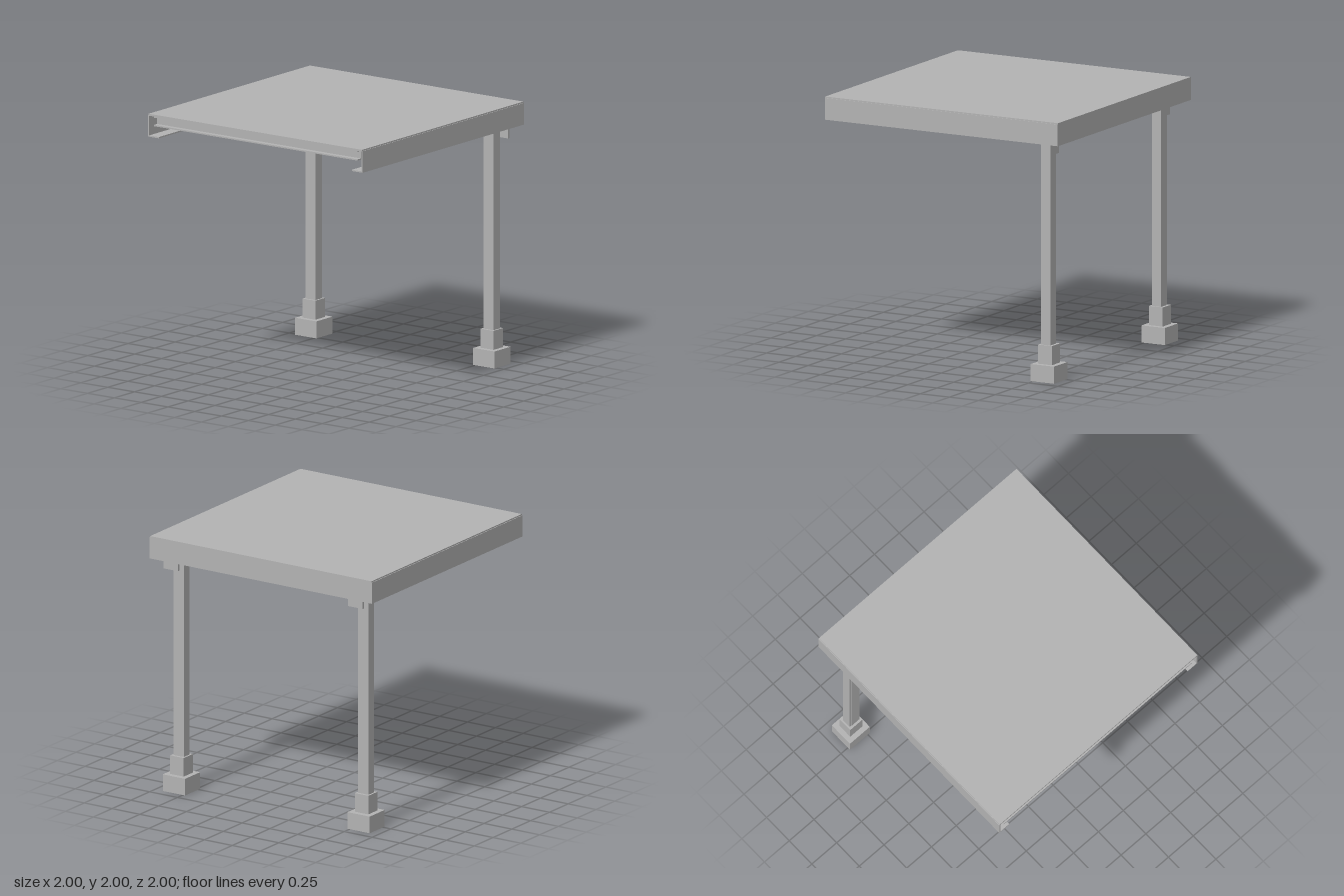
import * as THREE from 'three';

export function createModel() {
  const model = new THREE.Group();
  const steel = new THREE.MeshStandardMaterial({ color: 0xb2b2b2 });
  steel.name = 'grey steel';

  // Box given by its lower and upper limits on each axis
  const box = (name, [x0, x1], [y0, y1], [z0, z1], parent = model) => {
    const mesh = new THREE.Mesh(new THREE.BoxGeometry(x1 - x0, y1 - y0, z1 - z0), steel);
    mesh.position.set((x0 + x1) / 2, (y0 + y1) / 2, (z0 + z1) / 2);
    mesh.name = name;
    parent.add(mesh);
    return mesh;
  };

  // Roof sheet
  box('roofSheet', [-1, 1], [1.985, 2], [-0.995, 0.995]);

  // Fascia channels on three sides, the fourth is open
  const t = 0.01, low = 1.825;
  for (const s of [1, -1]) {
    const span = (a, b) => (s > 0 ? [a, b] : [-b, -a]);
    box('sideFascia', [-1, 1], [low, 1.99], span(1 - t, 1));
    box('sideFasciaFlange', [-1, 1], [low, low + t], span(0.9, 1 - t));
  }
  box('endFascia', [1 - t, 1], [low, 1.99], [-0.99, 0.99]);
  box('endFasciaFlange', [0.9, 1 - t], [low, low + t], [-0.9, 0.9]);

  // Channel purlins, opening towards the free end
  for (const x of [-0.945, 0.04]) {
    const purlin = new THREE.Group();
    purlin.name = 'purlin';
    box('purlinWeb', [x - t, x], [1.91, 1.985], [-0.95, 0.95], purlin);
    box('purlinLowerFlange', [x - 0.05, x - t], [1.91, 1.92], [-0.95, 0.95], purlin);
    box('purlinUpperFlange', [x - 0.05, x - t], [1.975, 1.985], [-0.95, 0.95], purlin);
    model.add(purlin);
  }

  // Posts with footings, caps, bracket plates and braces
  for (const z of [0.83, -0.83]) {
    const post = new THREE.Group();
    post.name = z > 0 ? 'frontPost' : 'backPost';
    box('footing', [0.728, 0.928], [0, 0.13], [z - 0.1, z + 0.1], post);
    box('collar', [0.768, 0.888], [0.13, 0.275], [z - 0.061, z + 0.061], post);
    box('column', [0.786, 0.866], [0.275, 1.805], [z - 0.033, z + 0.047], post);
    box('columnStrip', [0.79, 0.862], [0.275, 1.805], [z - 0.047, z - 0.033], post);
    box('capPlate', [0.775, 0.9], [1.805, 1.825], [z - 0.06, z + 0.06], post);
    box('bracketPlate', [0.882, 0.903], [1.732, 1.835], [z - 0.02, z + 0.11], post);
    box('bracePlate', [0.55, 0.67], [1.975, 1.985], [z - 0.09, z + 0.03], post);

    // Slanted brace between cap and roof
    const from = new THREE.Vector3(0.81, 1.82, z), to = new THREE.Vector3(0.62, 1.98, z - 0.03);
    const brace = new THREE.Mesh(new THREE.BoxGeometry(0.04, 0.015, from.distanceTo(to)), steel);
    brace.name = 'brace';
    brace.position.copy(from).lerp(to, 0.5);
    brace.lookAt(to);
    post.add(brace);
    model.add(post);
  }
  return model;
}
